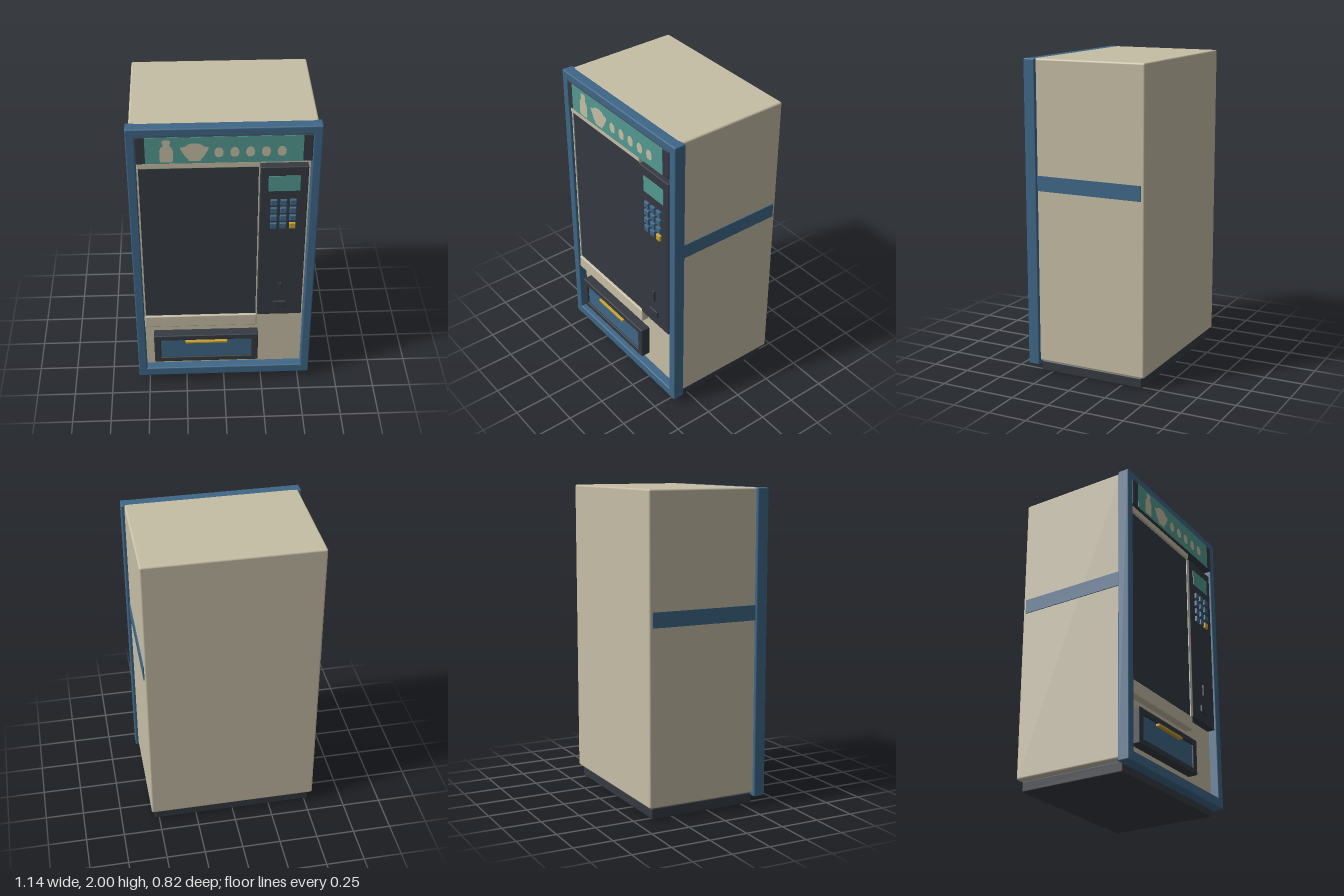
import * as THREE from 'three';
import { RoundedBoxGeometry } from 'three/addons/geometries/RoundedBoxGeometry.js';

function material(name, color) {
  const m = new THREE.MeshStandardMaterial({ color });
  m.name = name;
  return m;
}

export function createModel() {
  const beige = material('beige', 0xc6bea6);
  const blue = material('blue', 0x3f6787);
  const dark = material('charcoal', 0x353a41);
  const teal = material('teal', 0x529a8f);
  const yellow = material('yellow', 0xc9a22c);

  const model = new THREE.Group();
  model.name = 'vendingMachine';

  function add(name, geometry, mat, parent = model) {
    const mesh = new THREE.Mesh(geometry, mat);
    mesh.name = name;
    parent.add(mesh);
    return mesh;
  }

  // Box given by its limits; r > 0 rounds the edges
  function box(name, mat, [x0, x1], [y0, y1], [z0, z1], r = 0, parent = model) {
    const size = [x1 - x0, y1 - y0, z1 - z0];
    const geometry = r ? new RoundedBoxGeometry(...size, 2, r) : new THREE.BoxGeometry(...size);
    const mesh = add(name, geometry, mat, parent);
    mesh.position.set((x0 + x1) / 2, (y0 + y1) / 2, (z0 + z1) / 2);
    return mesh;
  }

  function group(name) {
    const g = new THREE.Group();
    g.name = name;
    model.add(g);
    return g;
  }

  // Cabinet, plinth and side stripes
  box('cabinet', beige, [-0.55, 0.55], [0.075, 2], [-0.413, 0.337], 0.012);
  box('plinth', dark, [-0.525, 0.525], [0, 0.068], [-0.387, 0.325], 0.008);
  box('plinthNeck', dark, [-0.515, 0.515], [0.06, 0.08], [-0.377, 0.315]);
  for (const s of [-1, 1]) {
    box('sideStripe', blue, s < 0 ? [-0.556, -0.545] : [0.545, 0.556], [1.185, 1.28], [-0.39, 0.325]);
  }

  // Raised front frame
  const frame = group('frontFrame');
  const fz = [0.318, 0.395];
  for (const s of [-1, 1]) {
    box('frameSide', blue, s < 0 ? [-0.57, -0.515] : [0.515, 0.57], [0.05, 2], fz, 0.008, frame);
  }
  box('frameTop', blue, [-0.562, 0.562], [1.945, 1.999], fz, 0.008, frame);
  box('frameBottom', blue, [-0.562, 0.562], [0.051, 0.115], fz, 0.008, frame);

  // Header sign with a row of food silhouettes
  const header = group('headerSign');
  box('headerBacking', dark, [-0.515, 0.515], [1.765, 1.948], [0.33, 0.398], 0.005, header);
  box('headerPanel', teal, [-0.46, 0.46], [1.768, 1.945], [0.394, 0.4], 0, header);

  function silhouette(name, shape, x, y) {
    const mesh = add(name, new THREE.ShapeGeometry(shape, 8), beige, header);
    mesh.position.set(x, y, 0.4015);
  }
  const outline = (points) => new THREE.Shape(points.map(([x, y]) => new THREE.Vector2(x, y)));

  // Half profile mirrored about its centre line
  const mirrored = (half) => outline([...half, ...half.map(([x, y]) => [-x, y]).reverse()]);
  silhouette('bottle', mirrored([
    [0.03, 0], [0.039, 0.012], [0.039, 0.08], [0.033, 0.1], [0.02, 0.113],
    [0.02, 0.126], [0.025, 0.13], [0.025, 0.143], [0.016, 0.153],
  ]), -0.336, 1.777);
  silhouette('bowl', mirrored([
    [0.035, 0], [0.037, 0.012], [0.055, 0.03], [0.067, 0.055], [0.082, 0.08],
    [0.082, 0.094], [0.055, 0.097], [0.04, 0.112], [0.018, 0.119],
  ]), -0.172, 1.785);
  const drop = mirrored([
    [0.012, 0], [0.022, 0.01], [0.026, 0.025], [0.026, 0.04], [0.02, 0.056], [0.008, 0.066],
  ]);
  for (let i = 0; i < 5; i++) silhouette('snack', drop, -0.031 + i * 0.0915, 1.809);

  // Display window and its trim
  const display = group('displayWindow');
  box('glass', dark, [-0.506, 0.206], [0.56, 1.725], [0.33, 0.37], 0, display);
  box('trimTop', beige, [-0.515, 0.213], [1.72, 1.762], [0.33, 0.385], 0.006, display);
  box('trimBottom', beige, [-0.515, 0.213], [0.477, 0.568], [0.33, 0.385], 0.008, display);
  box('trimLeft', beige, [-0.515, -0.505], [0.56, 1.73], [0.33, 0.376], 0, display);
  box('trimRight', beige, [0.205, 0.213], [0.56, 1.73], [0.33, 0.376], 0, display);

  // Control panel with screen, keypad and coin parts
  const controls = group('controlPanel');
  box('panel', dark, [0.216, 0.5], [0.57, 1.718], [0.33, 0.388], 0.005, controls);
  box('screen', teal, [0.263, 0.453], [1.55, 1.657], [0.386, 0.392], 0, controls);
  for (let row = 0; row < 4; row++) {
    for (let col = 0; col < 3; col++) {
      const x = 0.299 + col * 0.058;
      const y = 1.47 - row * 0.058;
      const last = row === 3 && col === 2;
      box(last ? 'confirmKey' : 'key', last ? yellow : blue,
        [x - 0.02, x + 0.02], [y - 0.02, y + 0.02], [0.38, 0.404], 0.004, controls);
    }
  }
  box('coinSlot', dark, [0.347, 0.365], [0.76, 0.838], [0.38, 0.4], 0.003, controls);
  box('coinReturn', dark, [0.316, 0.396], [0.638, 0.687], [0.38, 0.4], 0.004, controls);

  // Delivery tray with flap and handle
  const tray = group('deliveryTray');
  box('trayTop', dark, [-0.46, 0.225], [0.368, 0.408], [0.33, 0.4], 0.006, tray);
  box('trayBottom', dark, [-0.46, 0.225], [0.18, 0.217], [0.33, 0.4], 0.006, tray);
  box('trayLeft', dark, [-0.46, -0.416], [0.182, 0.406], [0.33, 0.4], 0.006, tray);
  box('trayRight', dark, [0.181, 0.225], [0.182, 0.406], [0.33, 0.4], 0.006, tray);
  box('flap', blue, [-0.42, 0.185], [0.21, 0.374], [0.33, 0.388], 0, tray);
  box('flapHandle', yellow, [-0.253, 0.022], [0.35, 0.366], [0.385, 0.412], 0.003, tray);

  return model;
}
